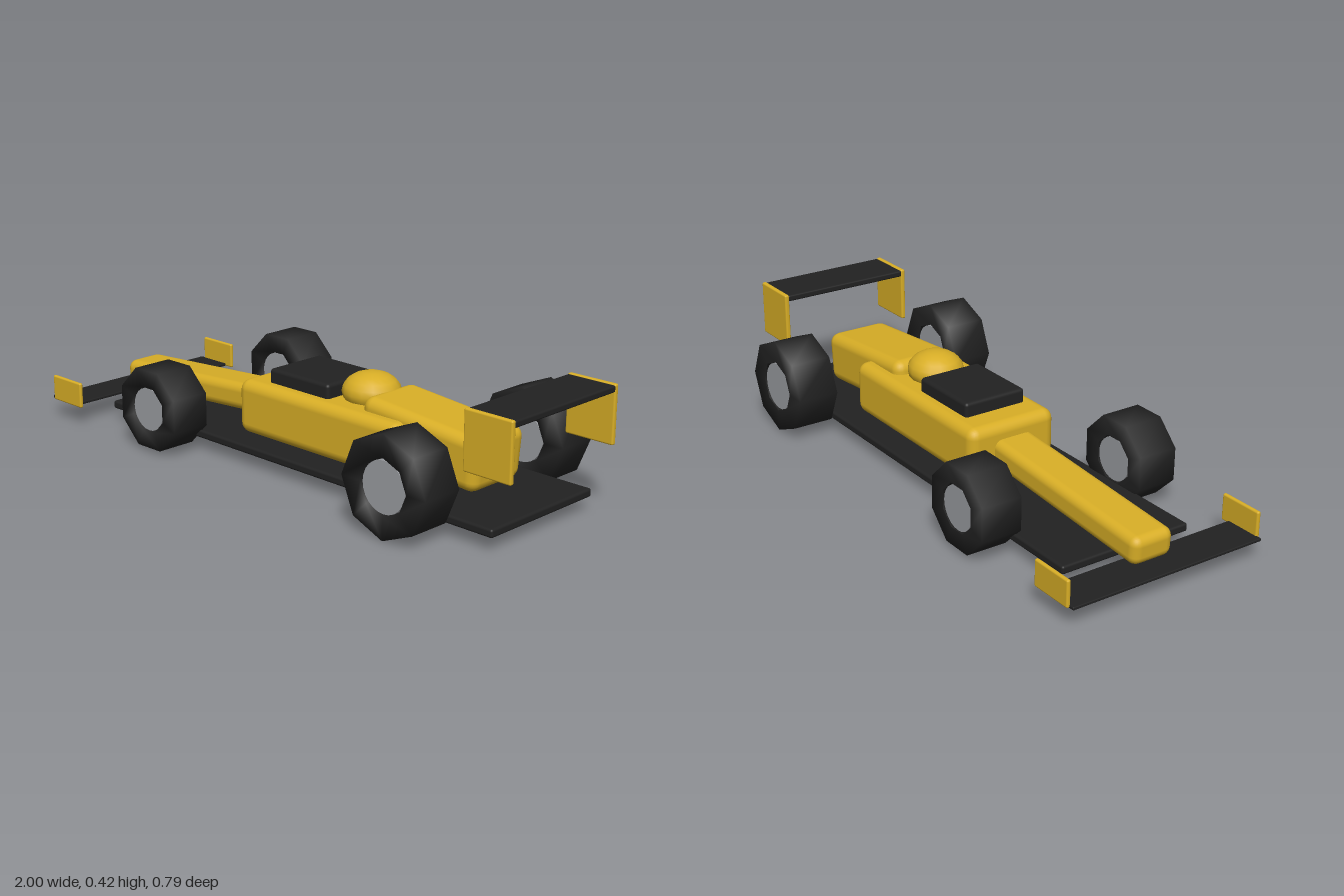
import * as THREE from 'three';
import { RoundedBoxGeometry } from 'three/addons/geometries/RoundedBoxGeometry.js';

export function createModel() {
  const mat = (name, color) => {
    const m = new THREE.MeshStandardMaterial({ color });
    m.name = name;
    return m;
  };
  const yellow = mat('yellow paint', 0xd8ae26);
  const black = mat('black rubber and carbon', 0x222222);
  const grey = mat('grey metal', 0x9b9da1);

  const car = new THREE.Group();
  car.name = 'racingCar';

  const add = (name, geometry, material, x, y, z, parent = car) => {
    const mesh = new THREE.Mesh(geometry, material);
    mesh.name = name;
    mesh.position.set(x, y, z);
    parent.add(mesh);
    return mesh;
  };
  // Rounded block given by its size, edge radius and centre
  const block = (name, material, [w, h, d], r, [x, y, z], tilt = 0) => {
    const mesh = add(name, new RoundedBoxGeometry(w, h, d, 3, r), material, x, y, z);
    mesh.rotation.z = tilt;
    return mesh;
  };

  // Floor and body, nose towards -x
  block('floor', black, [1.73, 0.028, 0.48], 0.008, [0.065, 0.059, 0]);
  block('mainBody', yellow, [0.715, 0.185, 0.332], 0.036, [0.133, 0.169, 0]);
  block('nose', yellow, [0.76, 0.095, 0.152], 0.03, [-0.545, 0.14, 0], 0.065);
  block('engineCover', yellow, [0.475, 0.175, 0.236], 0.036, [0.525, 0.2, 0], -0.087);
  block('cockpit', black, [0.27, 0.06, 0.232], 0.012, [0.015, 0.279, 0]);

  // Driver's helmet, a flattened ball
  add('helmet', new THREE.SphereGeometry(1, 16, 10), yellow, 0.233, 0.285, 0)
    .scale.set(0.098, 0.065, 0.096);

  // Wings
  block('frontWing', black, [0.14, 0.01, 0.71], 0.003, [-0.93, 0.07, 0]);
  block('rearWing', black, [0.175, 0.022, 0.476], 0.006, [0.911, 0.405, 0]);
  for (const side of [1, -1]) {
    block('frontWingEndPlate', yellow, [0.155, 0.09, 0.014], 0.006, [-0.905, 0.11, side * 0.357]);
    block('rearWingEndPlate', yellow, [0.176, 0.192, 0.017], 0.006, [0.911, 0.323, side * 0.243]);
  }

  // Eight-sided tyre with an open centre, and a round hub inside it
  const wheel = (name, x, y, z, radius, hole, hubRadius, width, turn) => {
    const group = new THREE.Group();
    group.name = name;
    group.position.set(x, y, z);
    const h = width / 2;
    const profile = [[hole, -h], [radius, -h], [radius, h], [hole, h], [hole, -h]]
      .map(([r, t]) => new THREE.Vector2(r, t));
    const tyre = new THREE.LatheGeometry(profile, 8).rotateX(Math.PI / 2).rotateZ(turn);
    add('tyre', tyre, black, 0, 0, 0, group);
    const hub = new THREE.CylinderGeometry(hubRadius, hubRadius, width - 0.008, 24).rotateX(Math.PI / 2);
    add('hub', hub, grey, 0, 0, 0, group);
    car.add(group);
  };
  for (const side of [1, -1]) {
    wheel('frontWheel', -0.445, 0.15, side * 0.3, 0.146, 0.081, 0.074, 0.142, 0.4);
    wheel('rearWheel', 0.645, 0.167, side * 0.32, 0.166, 0.091, 0.083, 0.146, 0);
  }

  return car;
}
